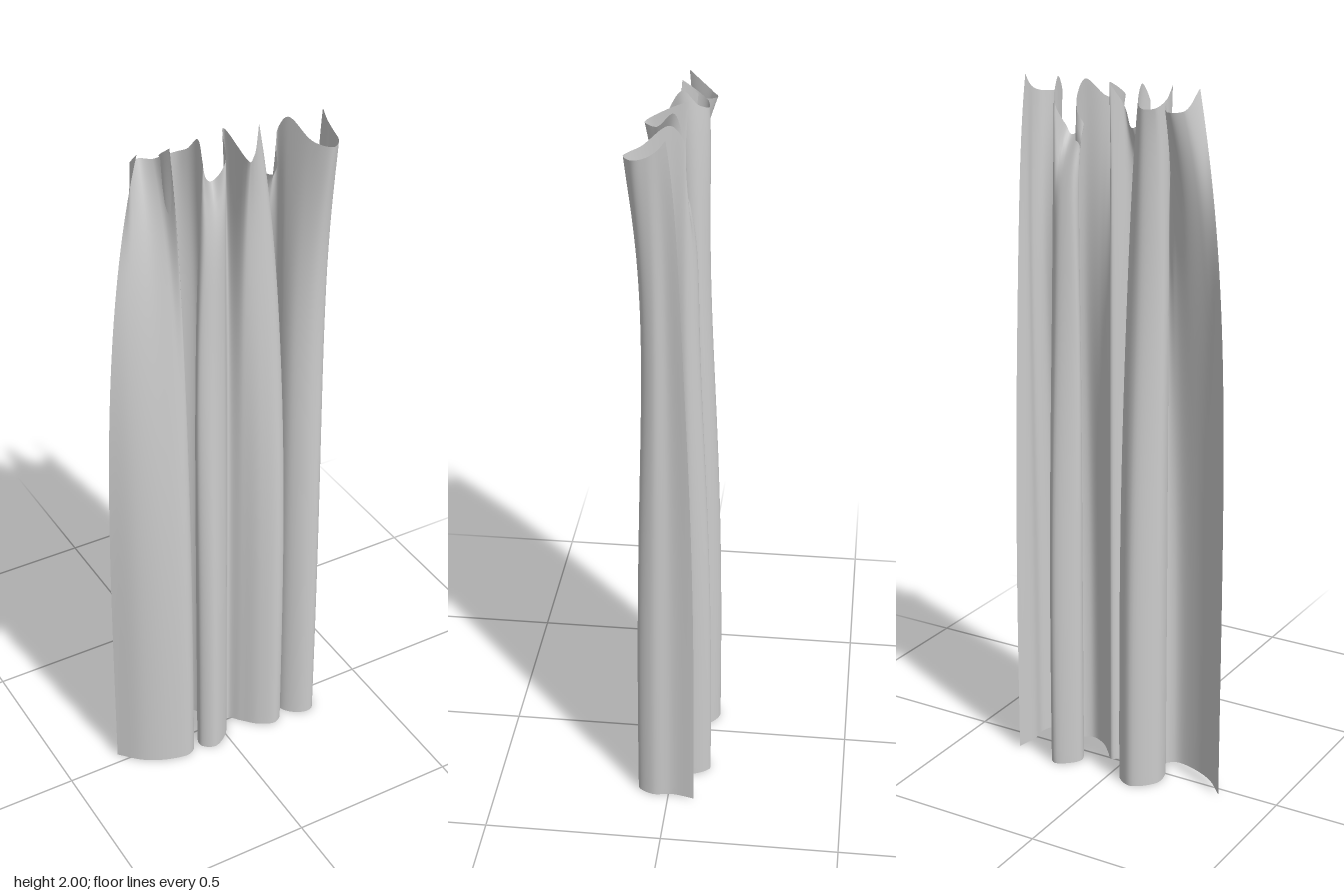
import * as THREE from 'three';

// Hem line on the floor, [x, z], from the right edge to the left edge
const HEM = [
  [-0.33, -0.03], [-0.27, 0.03], [-0.2, 0.065], [-0.135, 0.075], [-0.11, 0.05],
  [-0.14, 0], [-0.145, -0.06], [-0.085, -0.115], [-0.03, -0.08], [-0.03, -0.02],
  [-0.08, 0.02], [-0.09, 0.06], [-0.055, 0.085], [0, 0.055], [0.04, -0.005],
  [0.07, 0.025], [0.11, 0.065], [0.16, 0.085], [0.19, 0.06], [0.14, 0],
  [0.115, -0.06], [0.175, -0.11], [0.21, -0.06], [0.2, 0], [0.21, 0.05],
  [0.25, 0.085], [0.288, 0.088], [0.313, 0.045], [0.307, -0.01], [0.32, -0.075],
];

// Heading line, [x, y, z], point for point with the hem; y = 2 where it hangs
const HEADING = [
  [-0.225, 2, 0], [-0.215, 1.95, -0.06], [-0.18, 1.945, -0.085], [-0.15, 1.95, -0.05], [-0.14, 2, 0.01],
  [-0.145, 1.97, -0.03], [-0.13, 1.95, -0.06], [-0.095, 1.945, -0.07], [-0.065, 1.96, -0.04], [-0.055, 2, 0],
  [-0.06, 1.94, 0.04], [-0.045, 1.9, 0.06], [-0.02, 1.88, 0.055], [0.01, 1.93, 0.03], [0.03, 2, -0.025],
  [0.045, 1.95, 0.085], [0.08, 1.95, 0.05], [0.12, 2, 0], [0.135, 1.92, -0.03], [0.12, 1.88, -0.05],
  [0.14, 1.86, -0.075], [0.165, 1.85, -0.07], [0.19, 1.92, -0.05], [0.205, 2, 0], [0.235, 1.955, 0.07],
  [0.275, 1.945, 0.115], [0.305, 1.945, 0.09], [0.312, 1.955, 0.05], [0.31, 1.975, 0.02], [0.308, 2, 0],
];

const smoothLine = (points) => new THREE.CatmullRomCurve3(points, false, 'centripetal');

// Cloth lofted between hem and heading; folds gather mostly near the top
function clothGeometry(columns, rows) {
  const hem = smoothLine(HEM.map(([x, z]) => new THREE.Vector3(x, 0, z)));
  const heading = smoothLine(HEADING.map((p) => new THREE.Vector3(...p)));
  const geometry = new THREE.PlaneGeometry(1, 1, columns, rows);
  const position = geometry.attributes.position;
  for (let i = 0; i <= columns; i++) {
    const low = hem.getPoint(i / columns);
    const high = heading.getPoint(i / columns);
    // Sagging parts of the heading lean back to the hanging line
    const sag = THREE.MathUtils.clamp((1.95 - high.y) / 0.08, 0, 1);
    for (let j = 0; j <= rows; j++) {
      const t = 1 - j / rows;
      const gather = Math.pow(t, 4.3);
      // Folds are shallower below the flared heading
      const depth = 1 - 0.27 * Math.sin(Math.PI * Math.pow(t, 2.5));
      const lean = 1 - sag * Math.pow(t, 20);
      position.setXYZ(
        j * (columns + 1) + i,
        THREE.MathUtils.lerp(low.x, high.x, gather),
        Math.min(high.y, 2) * t,
        THREE.MathUtils.lerp(low.z, high.z, gather) * depth * lean,
      );
    }
  }
  geometry.computeVertexNormals();
  return geometry;
}

export function createModel() {
  const group = new THREE.Group();
  group.name = 'curtain';
  const fabric = new THREE.MeshStandardMaterial({ color: 0xcccccc, side: THREE.DoubleSide });
  fabric.name = 'greyFabric';
  const cloth = new THREE.Mesh(clothGeometry(203, 64), fabric);
  cloth.name = 'curtainPanel';
  group.add(cloth);
  return group;
}
